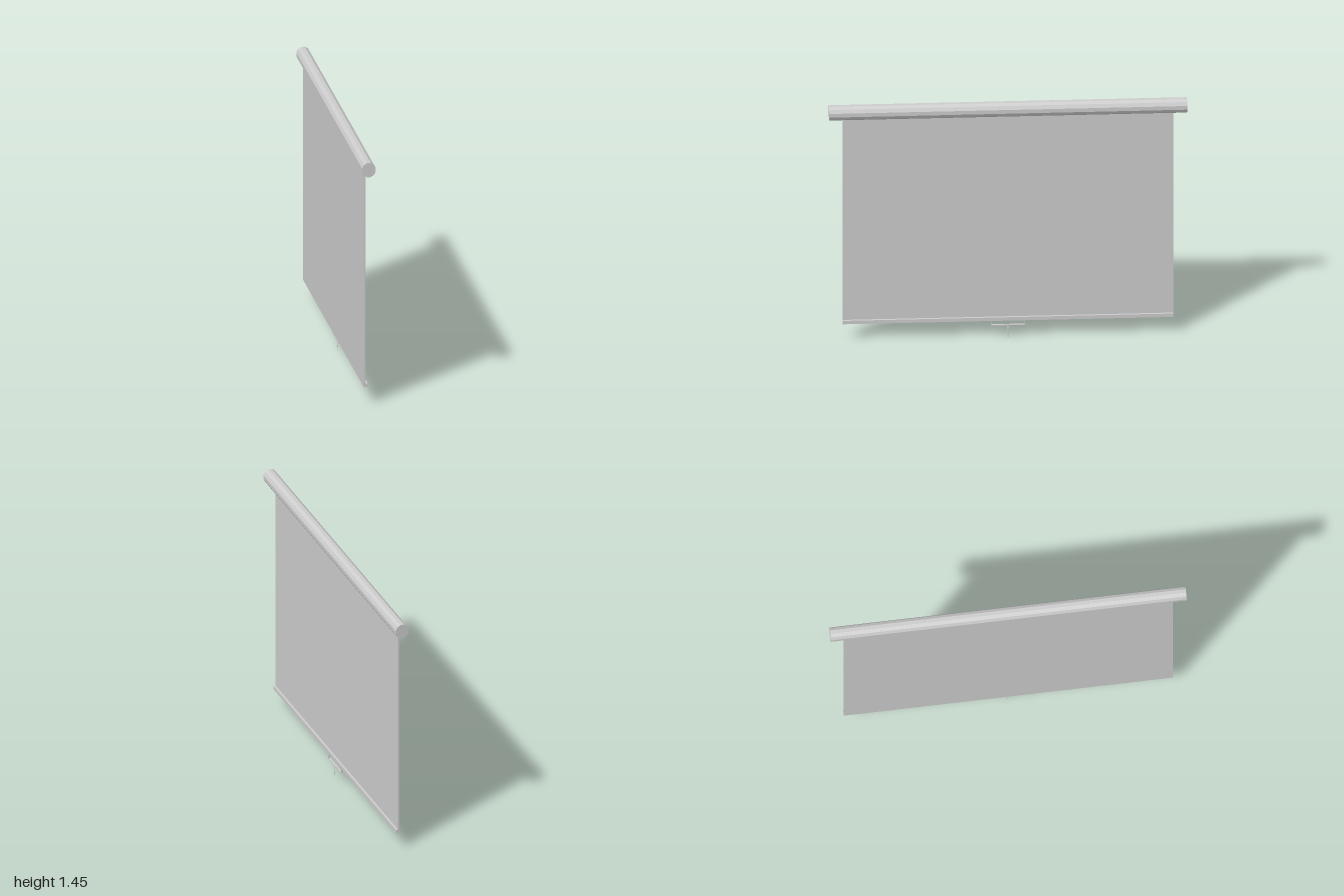
import * as THREE from 'three';

const material = new THREE.MeshStandardMaterial({ color: 0xcccccc, flatShading: true });

function add(group, name, geometry, x = 0, y = 0, z = 0) {
  const mesh = new THREE.Mesh(geometry, material);
  mesh.name = name;
  mesh.position.set(x, y, z);
  group.add(mesh);
  return mesh;
}

export function createModel() {
  const group = new THREE.Group();
  group.name = 'pullDownScreen';

  // Faceted roller casing, slightly taller than wide
  const casing = new THREE.CylinderGeometry(1, 1, 2, 12);
  casing.rotateY(Math.PI / 12);
  casing.rotateX(Math.PI / 2);
  casing.scale(0.04, 0.044, 1);
  add(group, 'rollerCasing', casing, 0, 1.408, 0);

  // Hanging sheet
  add(group, 'screenSheet', new THREE.BoxGeometry(0.009, 1.28, 1.85), -0.0095, 0.74, 0);

  // Weighted bar along the lower edge
  add(group, 'bottomBar', new THREE.BoxGeometry(0.013, 0.021, 1.85), 0.0015, 0.1105, 0);

  // Thin U-shaped pull handle
  const handle = new THREE.Group();
  handle.name = 'pullHandle';
  add(handle, 'handleGrip', new THREE.BoxGeometry(0.011, 0.004, 0.19), 0.0025, 0.073, 0);
  for (const side of [-1, 1]) {
    add(handle, 'handleArm', new THREE.BoxGeometry(0.011, 0.03, 0.003), 0.0025, 0.087, side * 0.0935);
  }
  group.add(handle);

  // Short, slightly bent pull cord
  const path = new THREE.CatmullRomCurve3([
    [0.003, 0.073], [0.01, 0.058], [0.011, 0.045], [0.008, 0.02], [0.007, 0],
  ].map(([x, y]) => new THREE.Vector3(x, y, 0)));
  add(group, 'pullCord', new THREE.TubeGeometry(path, 12, 0.002, 6));

  return group;
}
